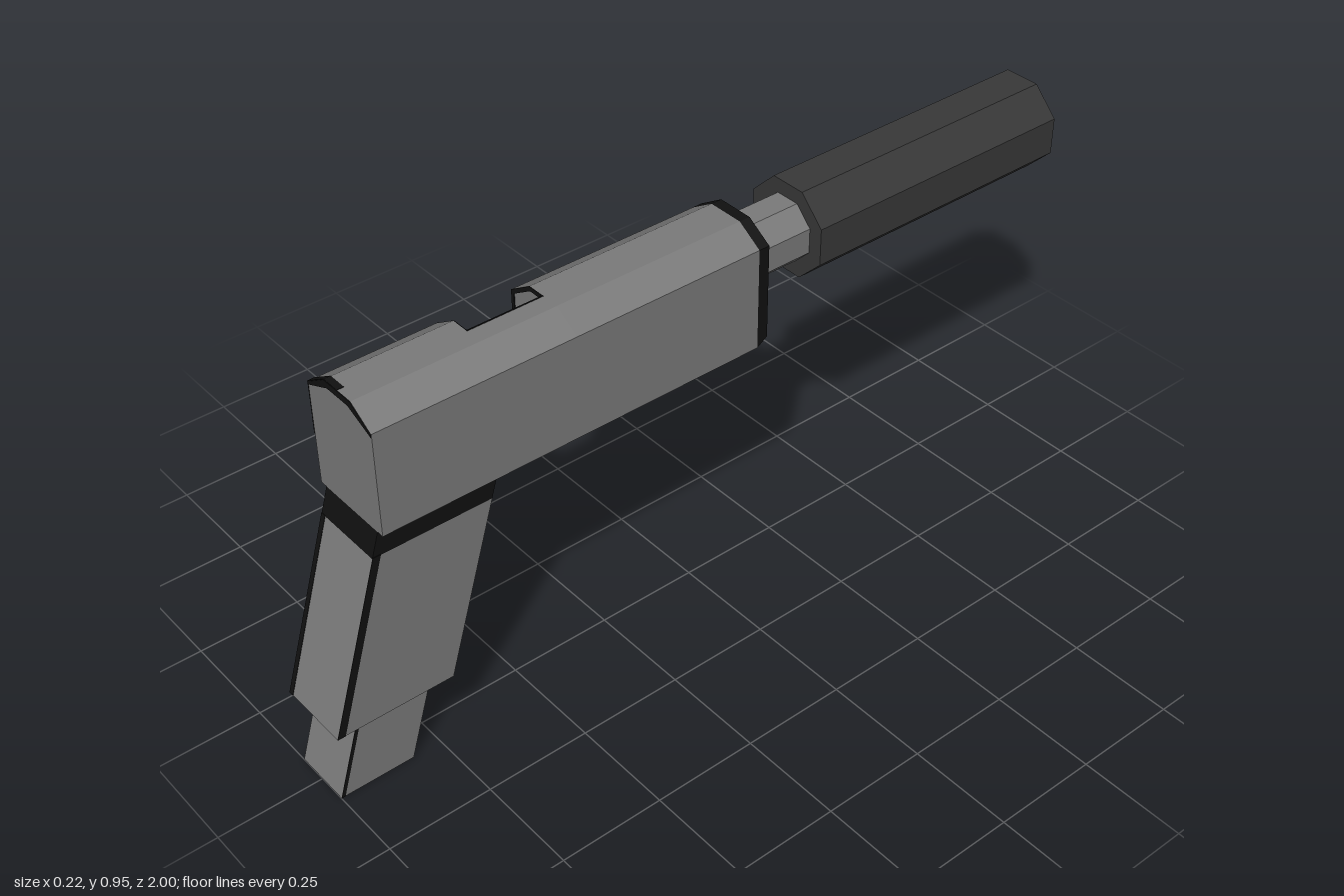
import * as THREE from 'three';

const grey = new THREE.MeshStandardMaterial({ color: 0x7b7b7b });
grey.name = 'steel grey';
const dark = new THREE.MeshStandardMaterial({ color: 0x383838 });
dark.name = 'charcoal';
const black = new THREE.MeshStandardMaterial({ color: 0x101010 });
black.name = 'black';

// Upper outline of the slide, from the right shoulder to the left one
const W = 0.108, BASE = 0.657, SHOULDER = 0.905, TOP = 0.945, FLAT = 0.045;
const SLIDE = [[-W, BASE], [W, BASE], [W, SHOULDER], [FLAT, TOP], [-FLAT, TOP], [-W, SHOULDER]];

export function createModel() {
  const group = new THREE.Group();

  const add = (name, geometry, material) => {
    const mesh = new THREE.Mesh(geometry, material);
    mesh.name = name;
    group.add(mesh);
    return mesh;
  };

  // Outline in x, y drawn out from z0 to z1
  const prism = (points, z0, z1) => {
    const shape = new THREE.Shape(points.map(([x, y]) => new THREE.Vector2(x, y)));
    return new THREE.ExtrudeGeometry(shape, { depth: z1 - z0, bevelEnabled: false }).translate(0, 0, z0);
  };

  const box = (x0, x1, y0, y1, z0, z1) =>
    new THREE.BoxGeometry(x1 - x0, y1 - y0, z1 - z0)
      .translate((x0 + x1) / 2, (y0 + y1) / 2, (z0 + z1) / 2);

  // Box raked backwards as it goes down; z is given at the slide's underside
  const raked = (...bounds) => {
    const g = box(...bounds);
    const p = g.attributes.position;
    for (let i = 0; i < p.count; i++) p.setZ(i, p.getZ(i) + 0.307 * (BASE - p.getY(i)));
    g.computeVertexNormals();
    return g;
  };

  // Eight-sided bar along z with flats on top and sides
  const octagon = (apothem, z0, z1) => {
    const r = apothem / Math.cos(Math.PI / 8);
    const g = new THREE.CylinderGeometry(r, r, z1 - z0, 8, 1, false, Math.PI / 8)
      .rotateX(Math.PI / 2).translate(0, 0.8375, (z0 + z1) / 2).toNonIndexed();
    g.computeVertexNormals();
    return g;
  };

  // Slide, with an open port on its upper right
  const P0 = 0.375, P1 = 0.56, FLOOR = 0.77;
  add('slideFront', prism(SLIDE, -0.1, P0), grey);
  add('slideRear', prism(SLIDE, P1, 0.855), grey);
  add('slidePort', prism([
    [-W, BASE], [W, BASE], [W, SHOULDER], [FLAT, TOP], [0, TOP], [0, FLOOR], [-W, FLOOR],
  ], P0, P1), grey);

  // Muzzle band with the lower front edge cut back
  const nose = prism(SLIDE, -0.127, -0.1);
  const np = nose.attributes.position;
  for (let i = 0; i < np.count; i++) {
    if (np.getZ(i) < -0.12 && np.getY(i) < 0.66) np.setY(i, 0.675);
  }
  nose.computeVertexNormals();
  add('muzzleBand', nose, [grey, black]);

  // Black rim round the port
  const rim = [
    [0, TOP], [-FLAT, TOP], [-W, SHOULDER], [-W, FLOOR],
    [-W + 0.009, FLOOR], [-W + 0.009, SHOULDER - 0.006], [-FLAT + 0.003, TOP - 0.01], [0, TOP - 0.01],
  ];
  add('portRimFront', prism(rim, P0, P0 + 0.002), black);
  add('portRimRear', prism(rim, P1 - 0.002, P1), black);
  add('portRimFloor', box(-W - 0.001, -W + 0.008, FLOOR - 0.006, FLOOR + 0.001, P0, P1), black);
  add('portRimTop', box(-0.002, 0.001, TOP - 0.014, TOP + 0.001, P0, P1), black);

  // Black edge along the top of the rear face
  add('rearTopEdge', prism([
    [W, SHOULDER], [FLAT, TOP], [-FLAT, TOP], [-W, SHOULDER],
    [-W, SHOULDER - 0.007], [-FLAT + 0.01, TOP - 0.015], [FLAT - 0.01, TOP - 0.015], [W, SHOULDER - 0.007],
  ], 0.855, 0.857), black);
  add('rearSideEdge', prism([
    [0, TOP], [0, TOP + 0.001], [-FLAT, TOP + 0.001], [-W - 0.001, SHOULDER + 0.001],
    [-W - 0.001, 0.78], [-W, 0.78], [-W, SHOULDER], [-FLAT, TOP],
  ], 0.84, 0.856), black);

  // Barrel and suppressor
  add('barrel', octagon(0.073, -0.28, 0.565), grey);
  add('suppressor', octagon(W, -1, -0.275), dark);

  // Raked grip with a black collar, and the magazine below it
  const G = 0.09, M = 0.072;
  add('gripCollar', raked(-G, G, 0.598, BASE, 0.57, 0.855), black);
  add('grip', raked(-G, G, 0.185, 0.598, 0.57, 0.855), grey);
  add('magazine', raked(-M, M, 0, 0.19, 0.618, 0.798), grey);

  // Black edge lines on the grip and magazine
  add('gripSideEdge', raked(G, G + 0.001, 0.185, 0.6, 0.836, 0.855), black);
  add('gripRearEdge', raked(-G, -G + 0.013, 0.185, 0.6, 0.855, 0.856), black);
  add('gripFrontEdge', raked(-G - 0.001, -G, 0.185, 0.6, 0.57, 0.577), black);
  add('magazineEdge', raked(M, M + 0.001, 0, 0.185, 0.789, 0.798), black);

  return group;
}
